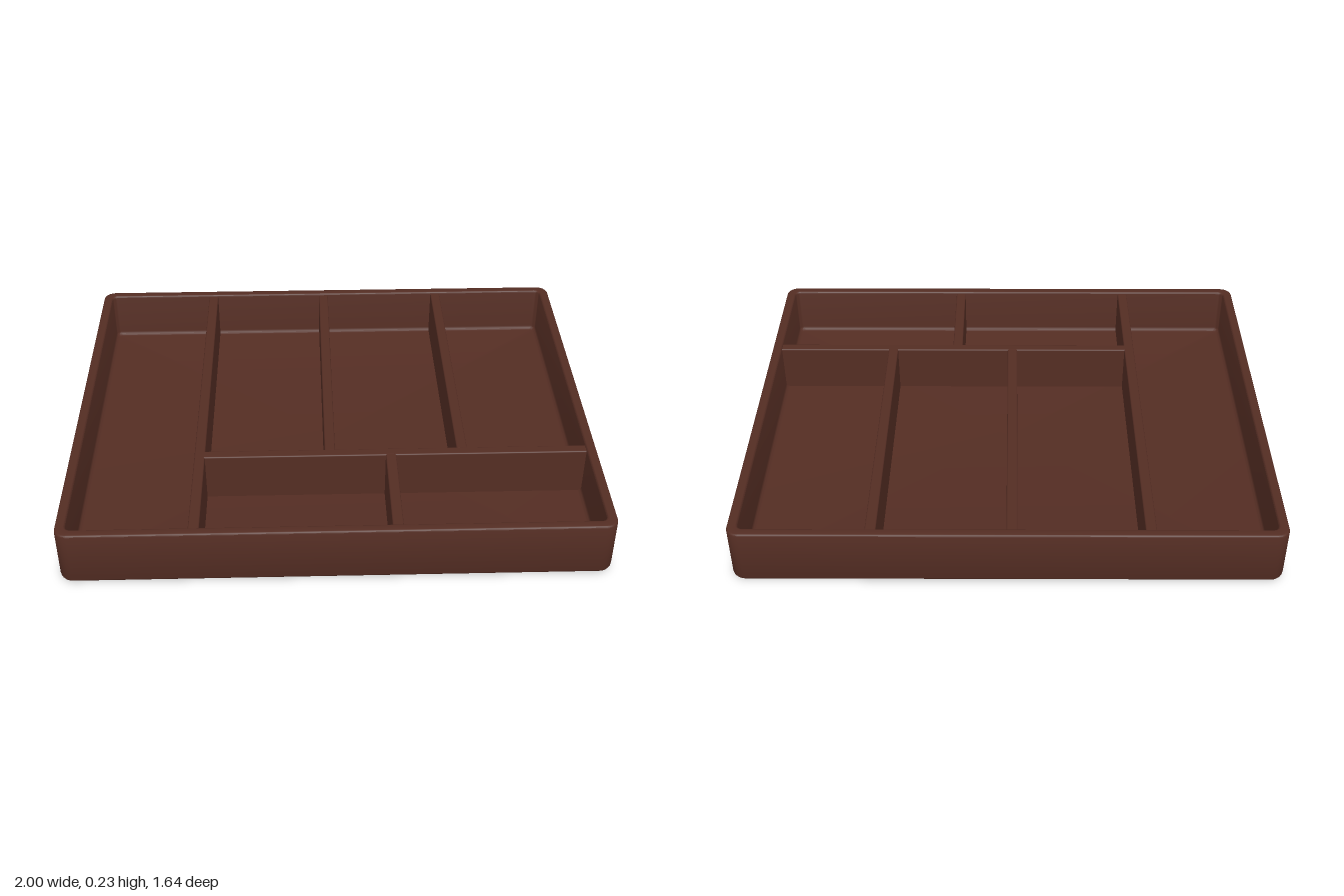
import * as THREE from 'three';
import { toCreasedNormals } from 'three/addons/utils/BufferGeometryUtils.js';
import { RoundedBoxGeometry } from 'three/addons/geometries/RoundedBoxGeometry.js';

const HALF_X = 1, HALF_Z = 0.82, HEIGHT = 0.23, FLOOR = 0.03;
const CORNER_STEPS = 6;

// Rounded rectangle at height y, pulled in from the outside by inset
function ring(inset, y, radius) {
  const points = [];
  const cx = HALF_X - inset - radius, cz = HALF_Z - inset - radius;
  const signs = [[1, 1], [-1, 1], [-1, -1], [1, -1]];
  signs.forEach(([sx, sz], corner) => {
    for (let i = 0; i <= CORNER_STEPS; i++) {
      const a = (corner + i / CORNER_STEPS) * Math.PI / 2;
      points.push([sx * cx + radius * Math.cos(a), y, sz * cz + radius * Math.sin(a)]);
    }
  });
  return points;
}

// Skin the rings from the underside, over the rim, to the inside floor
function trayGeometry() {
  const profile = [];
  const arc = (cInset, cy, r, from, to, steps) => {
    for (let i = 0; i <= steps; i++) {
      const a = THREE.MathUtils.degToRad(from + (to - from) * i / steps);
      profile.push([cInset + r * Math.cos(a), cy + r * Math.sin(a)]);
    }
  };
  arc(0.03, 0.03, 0.03, 270, 180, 5);               // outer bottom edge
  arc(0.007, HEIGHT - 0.007, 0.007, 180, 90, 3);    // outer rim edge
  arc(0.03, HEIGHT - 0.007, 0.007, 90, 0, 3);       // inner rim edge
  arc(0.052, FLOOR + 0.015, 0.015, 180, 270, 4);    // fillet to the floor

  const rings = profile.map(([inset, y]) => ring(inset, y, Math.max(0.012, 0.045 - inset * 0.6)));
  const n = rings[0].length;
  const positions = rings.flat(2), index = [];
  for (let r = 0; r < rings.length - 1; r++) {
    for (let i = 0; i < n; i++) {
      const a = r * n + i, b = r * n + (i + 1) % n;
      index.push(a, a + n, b, b, a + n, b + n);
    }
  }
  // Close the underside and the floor
  const under = positions.length / 3, top = under + 1, last = (rings.length - 1) * n;
  positions.push(0, 0, 0, 0, FLOOR, 0);
  for (let i = 0; i < n; i++) {
    const j = (i + 1) % n;
    index.push(under, i, j, top, last + j, last + i);
  }
  const geometry = new THREE.BufferGeometry();
  geometry.setAttribute('position', new THREE.Float32BufferAttribute(positions, 3));
  geometry.setIndex(index);
  return toCreasedNormals(geometry, 0.6);
}

export function createModel() {
  const group = new THREE.Group();
  group.name = 'compartmentTray';
  const brown = new THREE.MeshStandardMaterial({ color: 0x542d23 });
  brown.name = 'darkBrown';

  const tray = new THREE.Mesh(trayGeometry(), brown);
  tray.name = 'trayShell';
  group.add(tray);

  // Dividers: name, x range, z range
  const dividers = [
    ['longDivider', -0.53, -0.49, -0.8, 0.8],
    ['crossDivider', -0.5, 0.98, 0.34, 0.38],
    ['backDividerRight', -0.035, 0.005, -0.8, 0.35],
    ['backDividerLeft', 0.47, 0.51, -0.8, 0.35],
    ['frontDivider', 0.197, 0.237, 0.37, 0.8],
  ];
  const bottom = 0.012, top = 0.222;
  for (const [name, x0, x1, z0, z1] of dividers) {
    const divider = new THREE.Mesh(
      new RoundedBoxGeometry(x1 - x0, top - bottom, z1 - z0, 3, 0.006), brown);
    divider.name = name;
    divider.position.set((x0 + x1) / 2, (top + bottom) / 2, (z0 + z1) / 2);
    group.add(divider);
  }
  return group;
}
